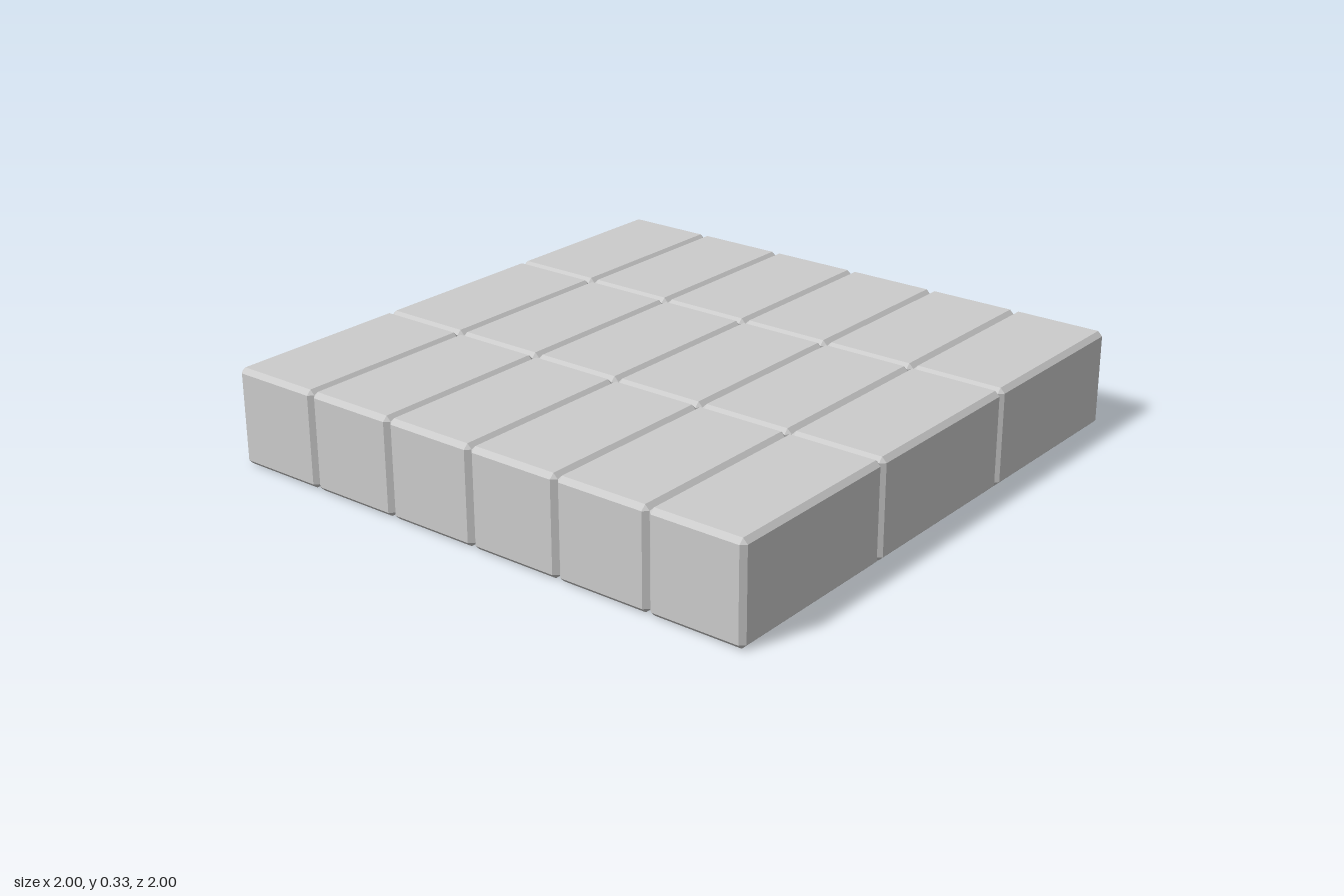
import * as THREE from 'three';
import { ConvexGeometry } from 'three/addons/geometries/ConvexGeometry.js';

const COLS = 3, ROWS = 6;
const W = 2 / COLS, D = 2 / ROWS, H = 1 / 3;
const BEVEL = 0.016;

// Box with every edge and corner cut flat: three points at each corner
function bevelledBox(w, h, d, b) {
  const points = [];
  for (const sx of [-1, 1]) for (const sy of [-1, 1]) for (const sz of [-1, 1]) {
    const x = w / 2, y = h / 2, z = d / 2;
    points.push(
      new THREE.Vector3(sx * x, sy * (y - b), sz * (z - b)),
      new THREE.Vector3(sx * (x - b), sy * y, sz * (z - b)),
      new THREE.Vector3(sx * (x - b), sy * (y - b), sz * z)
    );
  }
  return new ConvexGeometry(points);
}

export function createModel() {
  const group = new THREE.Group();
  group.name = 'brickPaving';
  const material = new THREE.MeshStandardMaterial({ color: 0xcccccc, flatShading: true });
  const geometry = bevelledBox(W, H, D, BEVEL);

  // Bricks laid edge to edge in a straight grid
  for (let row = 0; row < ROWS; row++) {
    for (let col = 0; col < COLS; col++) {
      const brick = new THREE.Mesh(geometry, material);
      brick.name = `brick_${row + 1}_${col + 1}`;
      brick.position.set(-1 + W * (col + 0.5), H / 2, -1 + D * (row + 0.5));
      group.add(brick);
    }
  }
  return group;
}
